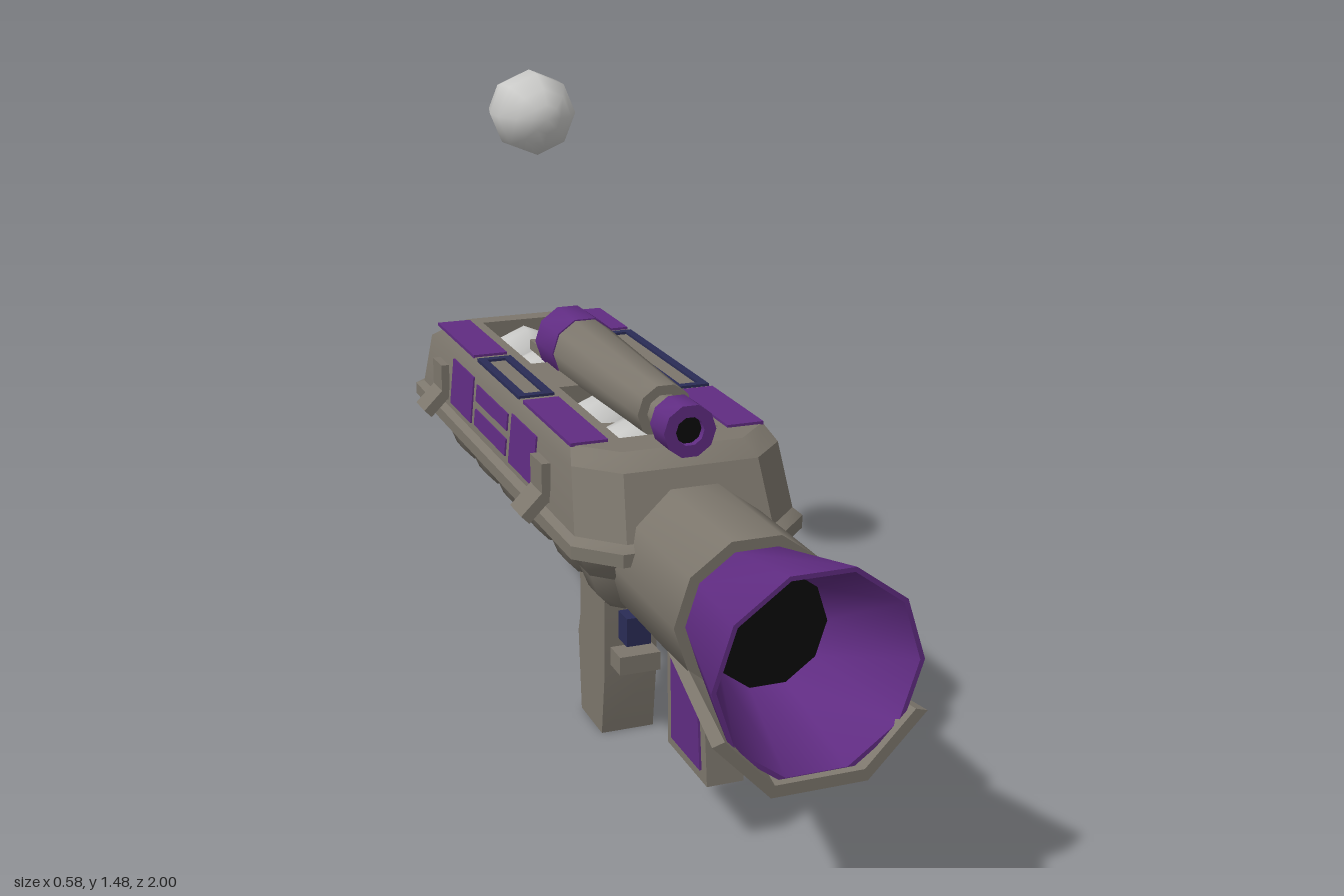
import * as THREE from 'three';
import { toCreasedNormals } from 'three/addons/utils/BufferGeometryUtils.js';

const CX = 0.02; // centre line of the launcher
const mat = (name, color) => {
  const m = new THREE.MeshStandardMaterial({ color });
  m.name = name;
  return m;
};

export function createModel() {
  const grey = mat('warm grey', 0x7c766c);
  const purple = mat('purple', 0x602c82);
  const navy = mat('navy', 0x2a2c56);
  const black = mat('black', 0x0b0b0b);
  const white = mat('egg white', 0xcacac8);
  const group = new THREE.Group();

  const add = (name, geo, material, crease = 0.7) => {
    const mesh = new THREE.Mesh(toCreasedNormals(geo, crease), material);
    mesh.name = name;
    group.add(mesh);
    return mesh;
  };
  // box given by its limits
  const box = (name, material, x0, x1, y0, y1, z0, z1) => {
    const m = add(name, new THREE.BoxGeometry(x1 - x0, y1 - y0, z1 - z0), material);
    m.position.set((x0 + x1) / 2, (y0 + y1) / 2, (z0 + z1) / 2);
    return m;
  };
  // turned part along z, profile as [radius, z] from back to front
  const turned = (name, material, y, profile, sides = 10, crease = 0.7) => {
    const pts = profile.map(([r, z]) => new THREE.Vector2(r, z));
    const m = add(name, new THREE.LatheGeometry(pts, sides, Math.PI / 2).rotateX(Math.PI / 2), material, crease);
    m.position.set(CX, y, 0);
    return m;
  };
  // side silhouette of [z, y] points, extruded across x
  const slab = (name, material, halfWidth, points) => {
    const shape = new THREE.Shape(points.map(([z, y]) => new THREE.Vector2(-z, y)));
    const geo = new THREE.ExtrudeGeometry(shape, { depth: 2 * halfWidth, bevelEnabled: false });
    geo.rotateY(Math.PI / 2).translate(CX - halfWidth, 0, 0);
    return add(name, geo, material);
  };
  // skin over closed rings of equal length, optionally with flat ends
  const loft = (rings, capStart, capEnd) => {
    const n = rings[0].length, idx = [];
    for (let r = 0; r < rings.length - 1; r++) {
      for (let i = 0; i < n; i++) {
        const a = r * n + i, b = r * n + (i + 1) % n;
        idx.push(a, b, b + n, a, b + n, a + n);
      }
    }
    const last = (rings.length - 1) * n;
    for (let i = 1; i < n - 1; i++) {
      if (capStart) idx.push(0, i + 1, i);
      if (capEnd) idx.push(last, last + i, last + i + 1);
    }
    const geo = new THREE.BufferGeometry();
    geo.setAttribute('position', new THREE.Float32BufferAttribute(rings.flat(2), 3));
    geo.setIndex(idx);
    return geo;
  };
  // plan outline with cut corners
  const ring = (y, w, zf, zb, c = 0.085) => [
    [w, zf - c], [w, zb + c], [w - c, zb], [c - w, zb],
    [-w, zb + c], [-w, zf - c], [c - w, zf], [w - c, zf],
  ].map(([x, z]) => [CX + x, y, z]);

  // case: rim, sloping walls and rounded shoulder
  add('caseShell', loft([
    ring(0.605, 0.235, 0.41, -0.965), ring(0.613, 0.265, 0.435, -1), ring(0.642, 0.265, 0.435, -1),
    ring(0.655, 0.25, 0.415, -0.97), ring(0.79, 0.237, 0.36, -0.925), ring(0.82, 0.222, 0.31, -0.85),
  ], true, false), grey, 0.5);

  // case lid with two windows
  const outline = ring(0, 0.222, 0.31, -0.85).map(([x, , z]) => new THREE.Vector2(x, -z));
  const lid = new THREE.Shape(outline);
  const windows = [[-0.8, -0.39], [-0.18, 0.22]];
  for (const [z0, z1] of windows) {
    lid.holes.push(new THREE.Path([[-0.09, z0], [0.14, z0], [0.14, z1], [-0.09, z1]]
      .map(([x, z]) => new THREE.Vector2(x, -z))));
  }
  const lidGeo = new THREE.ExtrudeGeometry(lid, { depth: 0.05, bevelEnabled: false });
  add('caseLid', lidGeo.rotateX(-Math.PI / 2).translate(0, 0.77, 0), grey);
  box('caseFloor', grey, -0.16, 0.2, 0.69, 0.71, -0.84, 0.3);

  // egg carton underside
  add('cartonTray', loft([
    ring(0.5, 0.165, 0.33, -0.9), ring(0.56, 0.215, 0.385, -0.94), ring(0.608, 0.235, 0.41, -0.965),
  ], true, false), grey, 0.8);
  const eggProfile = [[0, -0.155], [0.045, -0.143], [0.082, -0.09], [0.103, -0.01],
    [0.1, 0.05], [0.07, 0.105], [0.035, 0.13], [0, 0.135]];
  for (let i = 0; i < 6; i++) {
    const z = -0.805 + 0.21 * i;
    for (const side of [-1, 1]) {
      const pts = [[0, 0.45], [0.045, 0.455], [0.08, 0.49], [0.105, 0.55], [0.118, 0.61]]
        .map(([r, y]) => new THREE.Vector2(r, y));
      add('cartonCup', new THREE.LatheGeometry(pts, 8, Math.PI / 8), grey, 1)
        .position.set(CX + side * 0.105, 0, z);
    }
    // loaded eggs below the windows
    const egg = turned('loadedEgg', white, 0.7, eggProfile, 8, 1.1);
    egg.scale.set(1, 1, 0.72);
    egg.position.z = z;
  }

  // floating egg
  turned('floatingEgg', white, 1.375, eggProfile, 8, 1.1).position.z = -0.71;

  // barrel, flared muzzle and bore
  turned('barrel', grey, 0.585, [[0, -0.1], [0.173, -0.1], [0.173, 0.695], [0, 0.695]]);
  turned('muzzle', purple, 0.585, [[0.148, 0.69], [0.217, 0.985], [0.207, 0.985], [0.125, 0.76]]);
  turned('bore', black, 0.585, [[0.125, 0.76], [0, 0.76]]);

  // trough below the muzzle, as an inner and outer line at each end
  const trough = (z, w, h, b, yTop, yBot, t) => [
    [w, yTop], [h, yBot], [-h, yBot], [-w, yTop],
    [-w + t, yTop + t * 0.3], [-h + t * 0.3, yBot + t], [h - t * 0.3, yBot + t], [w - t, yTop + t * 0.3],
  ].map(([x, y]) => [CX + x, y, z]).reverse();
  const lip = add('muzzleLip', loft([
    trough(0.58, 0.14, 0.06, 0, 0.485, 0.418, 0.02), trough(1, 0.22, 0.1, 0, 0.485, 0.36, 0.025),
  ], false, false), grey.clone());
  lip.material.side = THREE.DoubleSide;
  lip.material.name = 'warm grey open';
  const rim = trough(1, 0.22, 0.1, 0, 0.485, 0.36, 0.025).map(([x, y]) => new THREE.Vector2(x, y));
  add('muzzleLipRim', new THREE.ShapeGeometry(new THREE.Shape(rim)).translate(0, 0, 1), grey);

  // front grip with side panels
  slab('frontGrip', grey, 0.042, [[0.53, 0.44], [0.565, 0.15], [0.345, 0.15], [0.335, 0.44]]);
  slab('frontGripPanels', purple, 0.047, [[0.505, 0.43], [0.535, 0.175], [0.375, 0.175], [0.365, 0.43]]);

  // rear grip, trigger and guard strap
  slab('rearGrip', grey, 0.065, [[0.08, 0.45], [0.08, 0.415], [0, 0.345], [0, 0.16], [-0.02, 0],
    [-0.165, 0], [-0.185, 0.2], [-0.17, 0.25], [-0.17, 0.5]]);
  box('trigger', navy, CX - 0.03, CX + 0.03, 0.25, 0.32, -0.01, 0.055);
  box('fingerRest', grey, CX - 0.05, CX + 0.05, 0.185, 0.23, -0.01, 0.065);
  slab('rearStrap', purple, 0.03, [[-0.17, 0.25], [-0.225, 0.25], [-0.335, 0.435], [-0.6, 0.435],
    [-0.6, 0.475], [-0.31, 0.475], [-0.205, 0.29], [-0.17, 0.29]]);

  // sighting scope
  const scopeY = 0.862;
  turned('scopeTube', grey, scopeY, [[0.08, -0.32], [0.066, 0.13], [0.064, 0.21], [0.042, 0.21], [0.042, 0.28]]);
  turned('scopeRearRing', purple, scopeY, [[0.045, -0.42], [0.05, -0.44], [0.083, -0.44], [0.083, -0.31], [0.06, -0.31]]);
  turned('scopeFrontRing', purple, scopeY, [[0.035, 0.27], [0.059, 0.27], [0.059, 0.35], [0.032, 0.35], [0.031, 0.335]]);
  turned('scopeFrontLens', black, scopeY, [[0.032, 0.336], [0, 0.336]]);
  turned('scopeRearLens', black, scopeY, [[0, -0.421], [0.046, -0.421]]);
  box('scopeMount', grey, CX - 0.03, CX + 0.03, 0.79, 0.83, -0.39, -0.18);
  box('windowBar', grey, CX - 0.04, CX + 0.04, 0.79, 0.815, -0.62, -0.39);

  // painted panels on the lid
  const lidPanel = (x0, z0, z1) => box('lidPanel', purple, x0, x0 + 0.085, 0.818, 0.826, z0, z1);
  const lidFrame = (x0, z0, z1) => {
    const x1 = x0 + 0.085, t = 0.02;
    for (const [a, b, c, d] of [[x0, x0 + t, z0, z1], [x1 - t, x1, z0, z1],
      [x0 + t, x1 - t, z0, z0 + t], [x0 + t, x1 - t, z1 - t, z1]]) {
      box('lidFrame', navy, a, b, 0.818, 0.826, c, d);
    }
  };
  lidPanel(-0.205, -0.82, -0.49);
  lidPanel(-0.205, -0.095, 0.235);
  lidFrame(-0.205, -0.46, -0.125);
  lidPanel(0.155, -0.82, -0.61);
  lidPanel(0.155, -0.05, 0.235);
  lidFrame(0.155, -0.585, -0.07);

  // painted stripes on the sloping side walls
  const wallPlate = (side, y0, y1, z0, z1) => {
    const y = (y0 + y1) / 2;
    const x = 0.25 - (y - 0.655) * 0.0963;
    const m = box('sideStripe', purple, -0.004, 0.004, y0, y1, z0, z1);
    m.position.x = CX + side * x;
    m.rotation.z = side * 0.096;
  };
  wallPlate(1, 0.683, 0.71, -0.86, 0.265);
  wallPlate(1, 0.725, 0.755, 0.115, 0.265);
  wallPlate(1, 0.725, 0.755, -0.86, -0.71);
  wallPlate(-1, 0.67, 0.785, -0.13, 0.05);
  wallPlate(-1, 0.67, 0.785, -0.62, -0.44);
  wallPlate(-1, 0.675, 0.715, -0.41, -0.16);
  wallPlate(-1, 0.735, 0.775, -0.41, -0.16);

  // latches on the right side
  for (const z of [-0.69, 0.12]) {
    box('latchPlate', grey, -0.245, -0.225, 0.67, 0.76, z - 0.04, z + 0.04);
    const tab = box('latchTab', grey, -0.3, -0.22, 0.652, 0.678, z - 0.04, z + 0.04);
    tab.rotation.z = Math.PI / 4;
    tab.position.x = -0.255;
  }
  return group;
}
